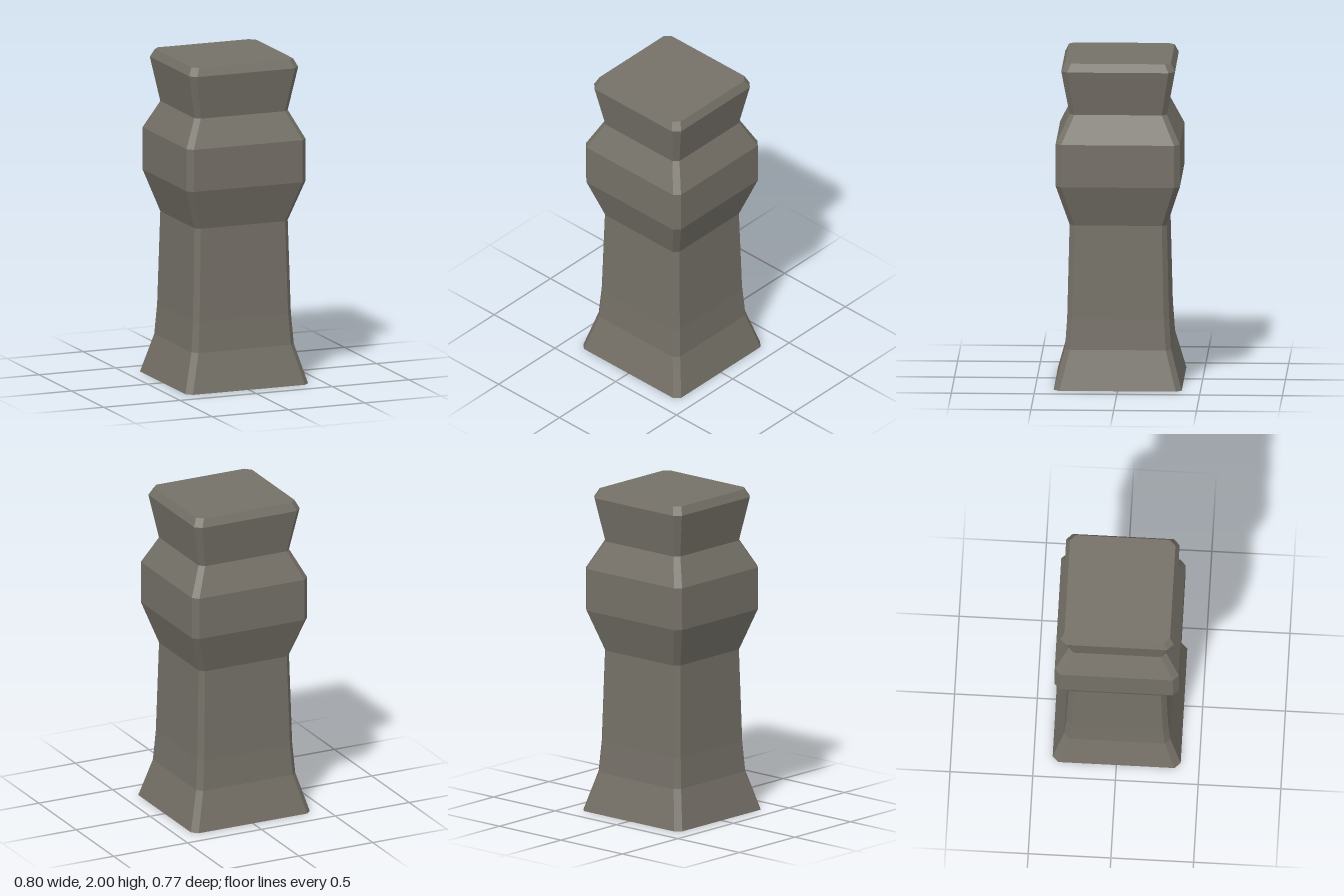
import * as THREE from 'three';

// Cross-sections from foot to top: height, half width, half depth, corner chamfer
const SECTIONS = [
  [0, 0.402, 0.387, 0.035],
  [0.24, 0.335, 0.321, 0.032],
  [0.43, 0.321, 0.308, 0.031],
  [1.0, 0.306, 0.294, 0.03],
  [1.25, 0.39, 0.375, 0.034],
  [1.51, 0.39, 0.375, 0.034],
  [1.68, 0.306, 0.294, 0.03],
  [1.95, 0.357, 0.343, 0.037],
  [2.0, 0.333, 0.319, 0.036],
];

// Chamfered rectangle, counter-clockwise seen from above
function ring([y, w, d, c]) {
  return [
    [w, d - c], [w, c - d], [w - c, -d], [c - w, -d],
    [-w, c - d], [-w, d - c], [c - w, d], [w - c, d],
  ].map(([x, z]) => [x, y, z]);
}

function geometryFrom(triangles) {
  const geometry = new THREE.BufferGeometry();
  geometry.setAttribute('position', new THREE.Float32BufferAttribute(triangles.flat(), 3));
  geometry.computeVertexNormals();
  return geometry;
}

// Side walls between consecutive sections
function loft(sections) {
  const rings = sections.map(ring);
  const tris = [];
  for (let i = 0; i < rings.length - 1; i++) {
    for (let k = 0; k < 8; k++) {
      const n = (k + 1) % 8;
      const a = rings[i][k], b = rings[i][n], c = rings[i + 1][n], d = rings[i + 1][k];
      tris.push(a, b, c, a, c, d);
    }
  }
  return geometryFrom(tris);
}

function cap(section) {
  const r = ring(section);
  const tris = [];
  for (let k = 1; k < 7; k++) tris.push(r[0], r[k], r[k + 1]);
  return geometryFrom(tris);
}

export function createModel() {
  const group = new THREE.Group();
  group.name = 'stonePost';
  const stone = new THREE.MeshStandardMaterial({ color: 0x757168 });
  stone.name = 'warm grey stone';
  stone.flatShading = true;
  stone.side = THREE.DoubleSide;

  const add = (name, geometry) => {
    const mesh = new THREE.Mesh(geometry, stone);
    mesh.name = name;
    group.add(mesh);
  };

  // Hollow shell, open at the foot and closed on top
  add('flaredFoot', loft(SECTIONS.slice(0, 2)));
  add('shaft', loft(SECTIONS.slice(1, 4)));
  add('bulgedCollar', loft(SECTIONS.slice(3, 7)));
  add('flaredHead', loft(SECTIONS.slice(6)));
  add('topFace', cap(SECTIONS[8]));
  return group;
}
